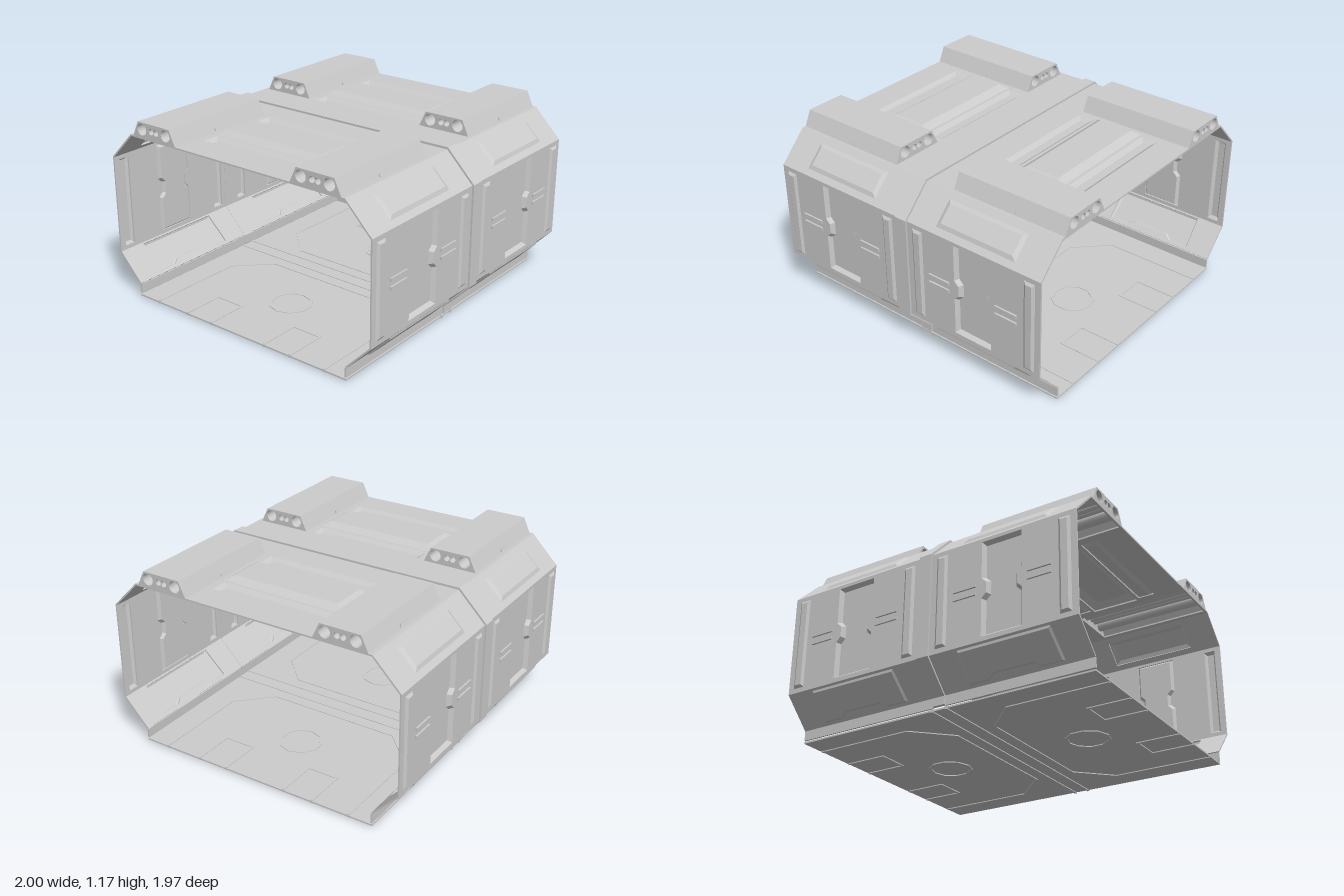
import * as THREE from 'three';

const mat = new THREE.MeshStandardMaterial({ color: 0xcccccc, flatShading: true, side: THREE.DoubleSide });
const smooth = new THREE.MeshStandardMaterial({ color: 0xcccccc, side: THREE.DoubleSide });

const V = (x, y) => new THREE.Vector2(x, y);
const rect = (u0, v0, u1, v1) => [V(u0, v0), V(u1, v0), V(u1, v1), V(u0, v1)];

function add(parent, name, geometry, material = mat) {
  const mesh = new THREE.Mesh(geometry, material);
  mesh.name = name;
  parent.add(mesh);
  return mesh;
}

// Flat sheet with holes; its outer face lies on local z = 0
function sheet(outline, holes, thickness = 0.01) {
  const shape = new THREE.Shape(outline);
  holes.forEach(h => shape.holes.push(h instanceof THREE.Path ? h : new THREE.Path(h)));
  return new THREE.ExtrudeGeometry(shape, { depth: thickness, bevelEnabled: false, curveSegments: 8 })
    .translate(0, 0, -thickness);
}

// Moves a counter-clockwise outline inwards by w
function inset(pts, w) {
  return pts.map((p, i) => {
    const a = pts.at(i - 1), b = pts[(i + 1) % pts.length];
    const d1 = p.clone().sub(a).normalize(), d2 = b.clone().sub(p).normalize();
    const n1 = V(-d1.y, d1.x), n2 = V(-d2.y, d2.x);
    return p.clone().addScaledVector(n1.clone().add(n2), w / (1 + n1.dot(n2)));
  });
}

// Pressed panel: bevelled rim and a cap at height d (negative = recessed)
function pressed(pts, bevel, d) {
  const inner = inset(pts, bevel), n = pts.length, index = [];
  const pos = [...pts.flatMap(p => [p.x, p.y, 0]), ...inner.flatMap(p => [p.x, p.y, d])];
  for (let i = 0; i < n; i++) {
    const j = (i + 1) % n;
    index.push(i, j, n + j, i, n + j, n + i);
  }
  THREE.ShapeUtils.triangulateShape(inner, []).forEach(f => index.push(...f.map(k => n + k)));
  const g = new THREE.BufferGeometry();
  g.setAttribute('position', new THREE.Float32BufferAttribute(pos, 3));
  g.setIndex(index);
  const flat = g.toNonIndexed();
  flat.computeVertexNormals();
  return flat;
}

const HALF = 0.4725;   // half the length of a bay
const PROFILE = [V(0.82, 0.025), V(0.82, 0.085), V(0.988, 0.26), V(0.988, 0.9), V(0.81, 1.08)];

// Facet of the hull from a to b: u runs along -z, v from a to b, local z points outwards.
// panels: [name, outline, bevel, depth]
function facet(name, a, b, panels, openings = []) {
  const g = new THREE.Group();
  g.name = name;
  const d = b.clone().sub(a), len = d.length();
  d.normalize();
  g.applyMatrix4(new THREE.Matrix4().makeBasis(
    new THREE.Vector3(0, 0, -1), new THREE.Vector3(d.x, d.y, 0), new THREE.Vector3(d.y, -d.x, 0)
  ).setPosition(a.x, a.y, 0));
  add(g, name + 'Sheet', sheet(rect(-HALF, 0, HALF, len), [...panels.map(p => p[1]), ...openings]));
  panels.forEach(([n, pts, bevel, depth]) => add(g, n, pressed(pts, bevel, depth)));
  return g;
}

function createSide() {
  const side = new THREE.Group();
  side.name = 'side';
  const [p0, p1, p2, p3, p4] = PROFILE;
  side.add(facet('skirt', p0, p1, []));

  // Lower slope with a panel notched along its bottom
  side.add(facet('lowerSlope', p1, p2, [['lowerPanel', [
    V(-0.305, 0.02), V(-0.165, 0.02), V(-0.125, 0.05), V(0.125, 0.05),
    V(0.165, 0.02), V(0.305, 0.02), V(0.295, 0.228), V(-0.295, 0.228)], 0.012, 0.01]]));

  // Wall with a notched, recessed door between two raised upright ribs
  const door = [V(-0.13, 0.028), V(0.13, 0.028), V(0.13, 0.262), V(0.1, 0.292), V(0.1, 0.358), V(0.13, 0.388),
    V(0.13, 0.618), V(-0.13, 0.618), V(-0.13, 0.388), V(-0.1, 0.358), V(-0.1, 0.292), V(-0.13, 0.262)];
  const wall = facet('wall', p2, p3, [
    ['door', door, 0.018, -0.025],
    ...[-1, 1].map(s => ['wallRib', rect(s * 0.3975 - 0.037, 0.03, s * 0.3975 + 0.037, 0.61), 0.016, 0.012])
  ]);
  for (const u of [-0.24, 0.24]) for (const v of [0.3, 0.35])
    add(wall, 'wallBar', new THREE.BoxGeometry(0.15, 0.02, 0.012)).position.set(u, v, 0.005);
  side.add(wall);

  side.add(facet('upperSlope', p3, p4, [['upperPanel', rect(-0.278, 0.042, 0.278, 0.211), 0.025, 0.012]]));
  return side;
}

// Roof housing: open-bottomed trapezoid cover with drilled ends and pipes running through
function createHousing() {
  const g = new THREE.Group();
  g.name = 'roofHousing';
  const z0 = -0.2925, length = HALF - z0, mid = z0 + length / 2;
  const outer = [V(-0.175, 0), V(-0.13, 0.095), V(0.13, 0.095), V(0.175, 0)];
  const inner = [V(0.164, 0), V(0.123, 0.085), V(-0.123, 0.085), V(-0.164, 0)];
  const cover = sheet([...outer, ...inner], [], length).translate(0, 0, HALF);
  add(g, 'housingCover', cover);
  const bores = [[-0.098, 0.038], [-0.02, 0.02], [0.02, 0.02], [0.098, 0.038]];
  const holes = bores.map(([x, r]) => new THREE.Path().absarc(x, 0.05, r - 0.001, 0, Math.PI * 2));
  for (const z of [z0 + 0.012, HALF])
    add(g, 'housingEnd', sheet(outer, holes, 0.012)).position.z = z;
  for (const [x, r] of bores)
    add(g, 'pipe', new THREE.CylinderGeometry(r, r, length - 0.004, 16, 1, true)
      .rotateX(Math.PI / 2).translate(x, 0.05, mid), smooth);
  // Small tab on each sloping side
  for (const s of [-1, 1]) {
    const tab = add(g, 'housingTab', new THREE.BoxGeometry(0.012, 0.018, 0.075));
    tab.position.set(s * 0.168, 0.016, 0.1);
    tab.rotation.z = s * 0.44;
  }
  return g;
}

// Raised floor strip between two points (x, z)
function strip(parent, x0, z0, x1, z1, w = 0.016) {
  const m = add(parent, 'floorStrip', new THREE.BoxGeometry(Math.hypot(x1 - x0, z1 - z0) + w * 0.5, 0.02, w));
  m.position.set((x0 + x1) / 2, 0.01, (z0 + z1) / 2);
  m.rotation.y = -Math.atan2(z1 - z0, x1 - x0);
}

function createFloorTrim() {
  const g = new THREE.Group();
  g.name = 'floorTrim';
  const end = HALF - 0.008;
  strip(g, -0.45, -0.38, 0.45, -0.38);
  strip(g, -0.82, -0.465, 0.82, -0.465);
  for (const s of [-1, 1]) {
    strip(g, s * 0.45, -0.38, s * 0.66, -0.17);
    strip(g, s * 0.66, -0.17, s * 0.66, end);
    strip(g, s * 0.21, 0.2, s * 0.41, 0.2);
    for (const x of [0.21, 0.41]) strip(g, s * x, 0.2, s * x, end);
  }
  const ring = [V(0.12, 0), V(0.14, 0), V(0.14, 0.02), V(0.12, 0.02), V(0.12, 0)];
  add(g, 'floorRing', new THREE.LatheGeometry(ring, 10)).position.z = -0.02;
  return g;
}

function createBay() {
  const bay = new THREE.Group();
  bay.name = 'bay';
  const left = createSide(), right = createSide();
  right.rotation.y = Math.PI;
  bay.add(left, right, createFloorTrim());

  // Roof: raised centre panel, a sunken channel on each side, openings under the housings
  const c = 0.81;
  const channels = [-1, 1].map(s => ['roofChannel', rect(s * 0.23 - 0.055, c - 0.385, s * 0.23 + 0.055, c + 0.385), 0.028, -0.02]);
  bay.add(facet('roof', V(c, 1.08), V(-c, 1.08),
    [['roofPanel', rect(-0.155, c - 0.405, 0.155, c + 0.405), 0.045, 0.03], ...channels],
    [-0.61, 0.61].map(x => rect(-0.46, c + x - 0.164, 0.28, c + x + 0.164))));
  for (const x of [-0.61, 0.61]) {
    const h = createHousing();
    h.position.set(x, 1.08, 0);
    bay.add(h);
  }
  return bay;
}

export function createModel() {
  const model = new THREE.Group();
  model.name = 'corridorModule';

  // Two identical bays, back to back
  for (const s of [1, -1]) {
    const bay = createBay();
    bay.position.z = s * 0.5125;
    if (s < 0) bay.rotation.y = Math.PI;
    model.add(bay);
  }

  // Floor plate
  add(model, 'floor', new THREE.BoxGeometry(1.64, 0.01, 1.97)).position.y = 0.011;

  // Hoop covering the joint between the bays
  const outer = [V(0.83, 0.03), V(0.83, 0.08), V(1, 0.256), V(1, 0.905), V(0.815, 1.093)];
  const inner = [V(0.808, 0.03), V(0.808, 0.09), V(0.976, 0.265), V(0.976, 0.895), V(0.805, 1.066)];
  const flip = pts => pts.map(p => V(-p.x, p.y)).reverse();
  const hoop = [...outer, ...flip(outer), ...flip(inner).reverse(), ...inner.slice().reverse()];
  add(model, 'jointHoop', sheet(hoop, [], 0.08)).position.z = 0.04;
  return model;
}
